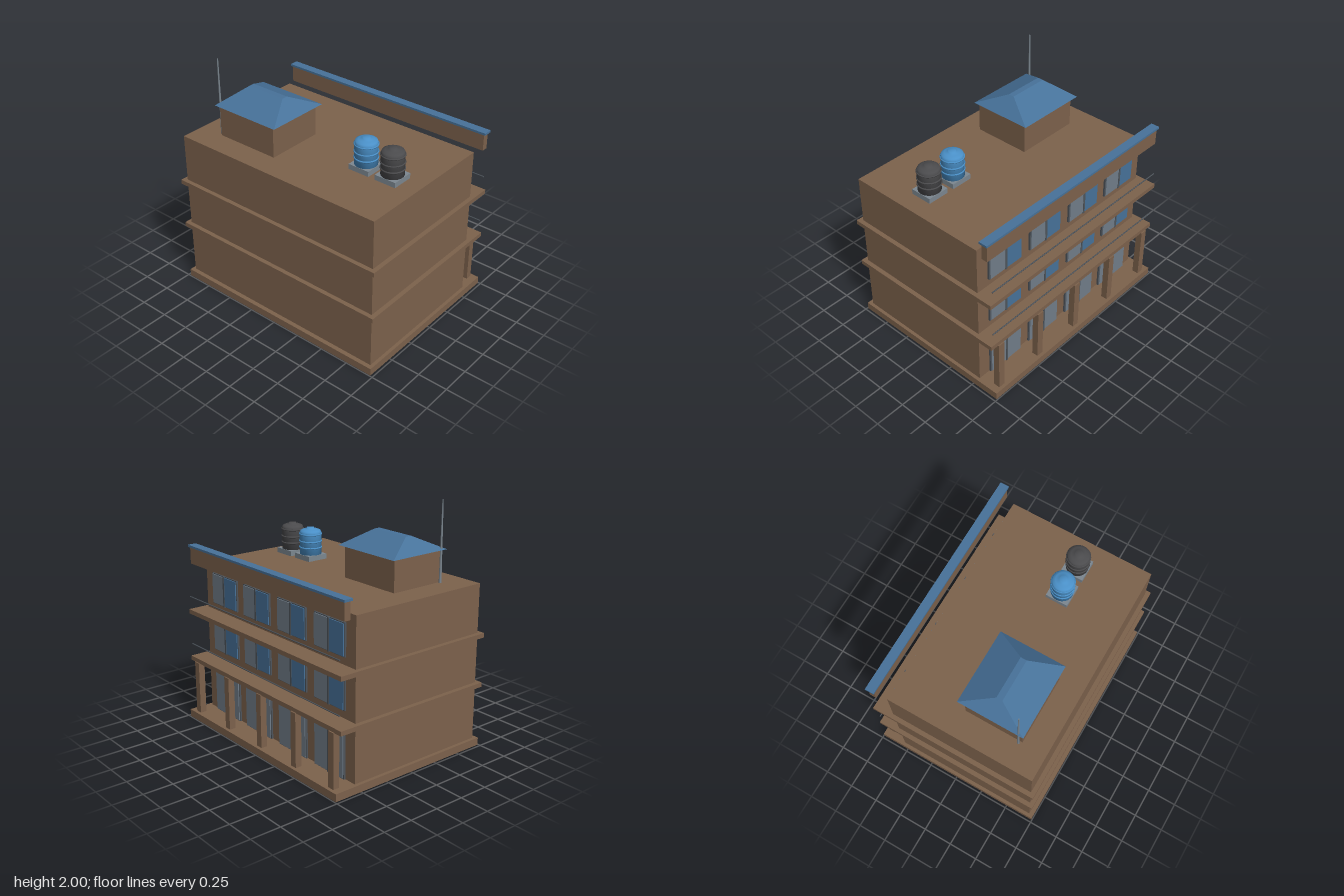
import * as THREE from 'three';

function mat(name, color, flat = false) {
  const m = new THREE.MeshStandardMaterial({ color });
  m.name = name;
  m.flatShading = flat;
  return m;
}

export function createModel() {
  const root = new THREE.Group();
  root.name = 'building';
  const brown = mat('brownWall', 0x7d624c);
  const roofBlue = mat('roofBlue', 0x47729a, true);
  const gray = mat('grayGlass', 0x717d89);
  const metal = mat('darkMetal', 0x4e555c);
  const concrete = mat('concrete', 0x7c8790);
  const tankBlue = mat('tankBlue', 0x4a90c8);
  const tankDark = mat('tankDark', 0x4b4b4d);

  const add = (name, geo, m, parent = root) => {
    const mesh = new THREE.Mesh(geo, m);
    mesh.name = name;
    parent.add(mesh);
    return mesh;
  };
  // Box given by its extents along each axis
  const box = (name, m, x0, x1, y0, y1, z0, z1, parent = root) => {
    const mesh = add(name, new THREE.BoxGeometry(x1 - x0, y1 - y0, z1 - z0), m, parent);
    mesh.position.set((x0 + x1) / 2, (y0 + y1) / 2, (z0 + z1) / 2);
    return mesh;
  };

  // Main masses
  box('plinth', brown, -0.978, 0.978, 0, 0.063, -0.743, 0.743);
  box('body', brown, -0.95, 0.95, 0.063, 1.357, -0.54, 0.707);
  for (const y of [0.507, 0.92]) box('floorSlab', brown, -0.987, 0.987, y, y + 0.037, -0.705, 0.743);

  // Suspended parapet with blue cap along the back
  box('parapet', brown, -0.98, 0.98, 1.347, 1.49, -0.673, -0.62);
  box('parapetCap', roofBlue, -0.995, 0.995, 1.487, 1.505, -0.685, -0.61);

  // Ground floor columns
  for (let i = -2; i <= 2; i++) {
    const x = i * 0.443;
    box('column', brown, x - 0.03, x + 0.03, 0.06, 0.51, -0.715, -0.66);
  }

  // Balcony handrails
  for (const y of [0.655, 1.07]) {
    const rail = add('handrail', new THREE.CylinderGeometry(0.005, 0.005, 1.93, 8), metal);
    rail.rotation.z = Math.PI / 2;
    rail.position.set(0, y, -0.7);
  }

  // Doors and windows: dark frame with two leaves
  const opening = (name, x, y0, y1, leaves) => {
    const g = new THREE.Group();
    g.name = name;
    root.add(g);
    box('frame', metal, x - 0.173, x + 0.173, y0, y1, -0.555, -0.535, g);
    leaves.forEach((m, i) => {
      const s = i ? 1 : -1;
      const c = x + s * 0.086;
      box('leaf', m, c - 0.079, c + 0.079, y0 + 0.008, y1 - 0.008, -0.563, -0.54, g);
    });
    box('mullion', metal, x - 0.009, x + 0.009, y0, y1, -0.567, -0.54, g);
  };
  for (const x of [-0.672, -0.225, 0.225, 0.668]) {
    opening('door', x, 0.063, 0.443, [gray, gray]);
    opening('window', x, 0.61, 0.868, [roofBlue, gray]);
    opening('window', x, 1.02, 1.28, [roofBlue, gray]);
  }

  // Roof room with hipped roof
  box('roofRoom', brown, -0.732, -0.172, 1.35, 1.617, 0.015, 0.503);
  const hip = new THREE.BoxGeometry(0.626, 0.118, 0.55);
  const p = hip.attributes.position;
  for (let i = 0; i < p.count; i++) {
    if (p.getY(i) > 0) {
      p.setX(i, Math.sign(p.getX(i)) * 0.175);
      p.setZ(i, Math.sign(p.getZ(i)) * 0.025);
    }
  }
  hip.computeVertexNormals();
  add('hippedRoof', hip, roofBlue).position.set(-0.452, 1.676, 0.25);

  // Mast
  add('mast', new THREE.CylinderGeometry(0.005, 0.011, 0.645, 8), concrete).position.set(-0.75, 1.678, 0.478);

  // Water tanks on pads
  const profile = [[0, 0], [0.09, 0], [0.09, 0.175], [0.09, 0.182], [0.083, 0.197],
    [0.06, 0.207], [0.03, 0.211], [0.03, 0.222], [0, 0.222]].map(([r, y]) => new THREE.Vector2(r, y));
  const tank = (x, m) => {
    const g = new THREE.Group();
    g.name = 'waterTank';
    g.position.set(x, 1.357, 0.175);
    root.add(g);
    box('pad', concrete, -0.093, 0.093, 0, 0.043, -0.093, 0.093, g);
    add('tankBody', new THREE.LatheGeometry(profile, 28), m, g).position.y = 0.043;
    for (const y of [0.1, 0.152, 0.212]) {
      const band = add('tankBand', new THREE.TorusGeometry(0.09, 0.007, 8, 28), m, g);
      band.rotation.x = Math.PI / 2;
      band.position.y = y;
    }
  };
  tank(0.461, tankBlue);
  tank(0.706, tankDark);

  return root;
}
